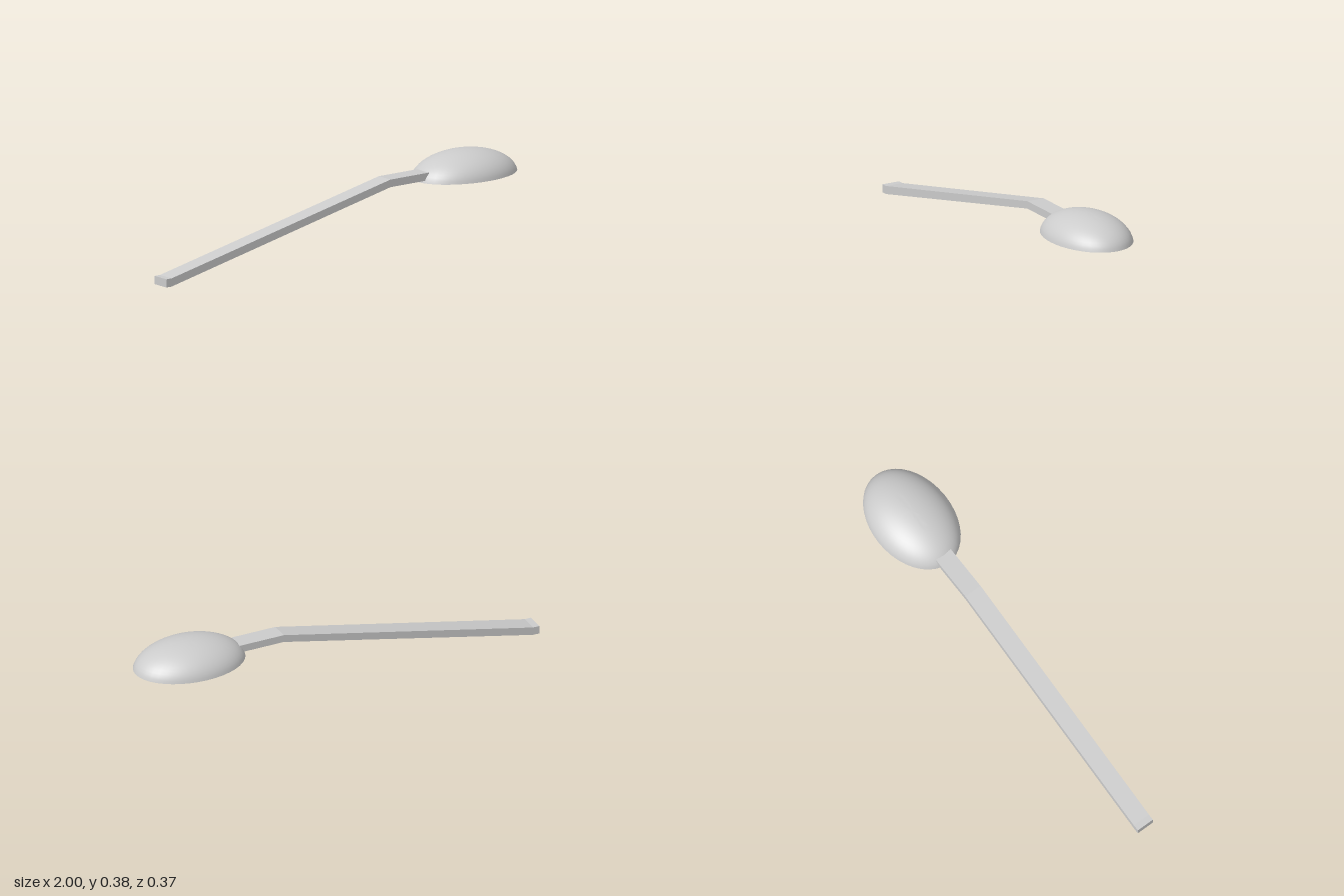
import * as THREE from 'three';
import { toCreasedNormals } from 'three/addons/utils/BufferGeometryUtils.js';

const grey = new THREE.MeshStandardMaterial({ color: 0xcccccc });
const tan = new THREE.MeshStandardMaterial({ color: 0xd8c090 });

function addMesh(group, name, geometry, material) {
  const mesh = new THREE.Mesh(geometry, material);
  mesh.name = name;
  group.add(mesh);
  return mesh;
}

// Points of a dome arc, from the rim up to the crown (unit rim radius, unit height)
function domeArc(radius, height, steps = 14) {
  const cut = THREE.MathUtils.degToRad(84);
  return Array.from({ length: steps + 1 }, (_, i) => {
    const a = cut * (1 - i / steps);
    return new THREE.Vector2(
      radius * Math.sin(a) / Math.sin(cut),
      height * (Math.cos(a) - Math.cos(cut)) / (1 - Math.cos(cut))
    );
  });
}

export function createModel() {
  const model = new THREE.Group();
  model.name = 'streetLampHead';

  // Bent square arm: foot, long slope, level end
  const halfWidth = 0.0425;
  const outline = new THREE.Shape([
    [-1, 0], [-0.97, 0], [0.28, 0.275], [0.5, 0.275],
    [0.5, 0.31], [0.28, 0.31], [-0.97, 0.038], [-1, 0.038]
  ].map(([x, y]) => new THREE.Vector2(x, y)));
  const armGeometry = new THREE.ExtrudeGeometry(outline, { depth: halfWidth * 2, bevelEnabled: false });
  armGeometry.translate(0, 0, -halfWidth);
  addMesh(model, 'arm', armGeometry, grey);

  // Hollow oval shade: inner wall down, across the rim, outer wall up
  const profile = [...domeArc(0.95, 0.105).reverse(), ...domeArc(1, 0.114)];
  const shadeGeometry = new THREE.LatheGeometry(profile, 40);
  shadeGeometry.scale(0.267, 1, 0.187);
  const shade = addMesh(model, 'shade', toCreasedNormals(shadeGeometry, 0.7), grey);
  shade.position.set(0.733, 0.264, 0);

  // Pair of lamp tubes under the shade
  for (const side of [-1, 1]) {
    const tubeGeometry = new THREE.CylinderGeometry(0.013, 0.013, 0.44, 16);
    tubeGeometry.rotateZ(-Math.PI / 2);
    const tube = addMesh(model, side > 0 ? 'frontLampTube' : 'backLampTube', tubeGeometry, tan);
    tube.position.set(0.71, 0.285, side * 0.016);
  }

  return model;
}
